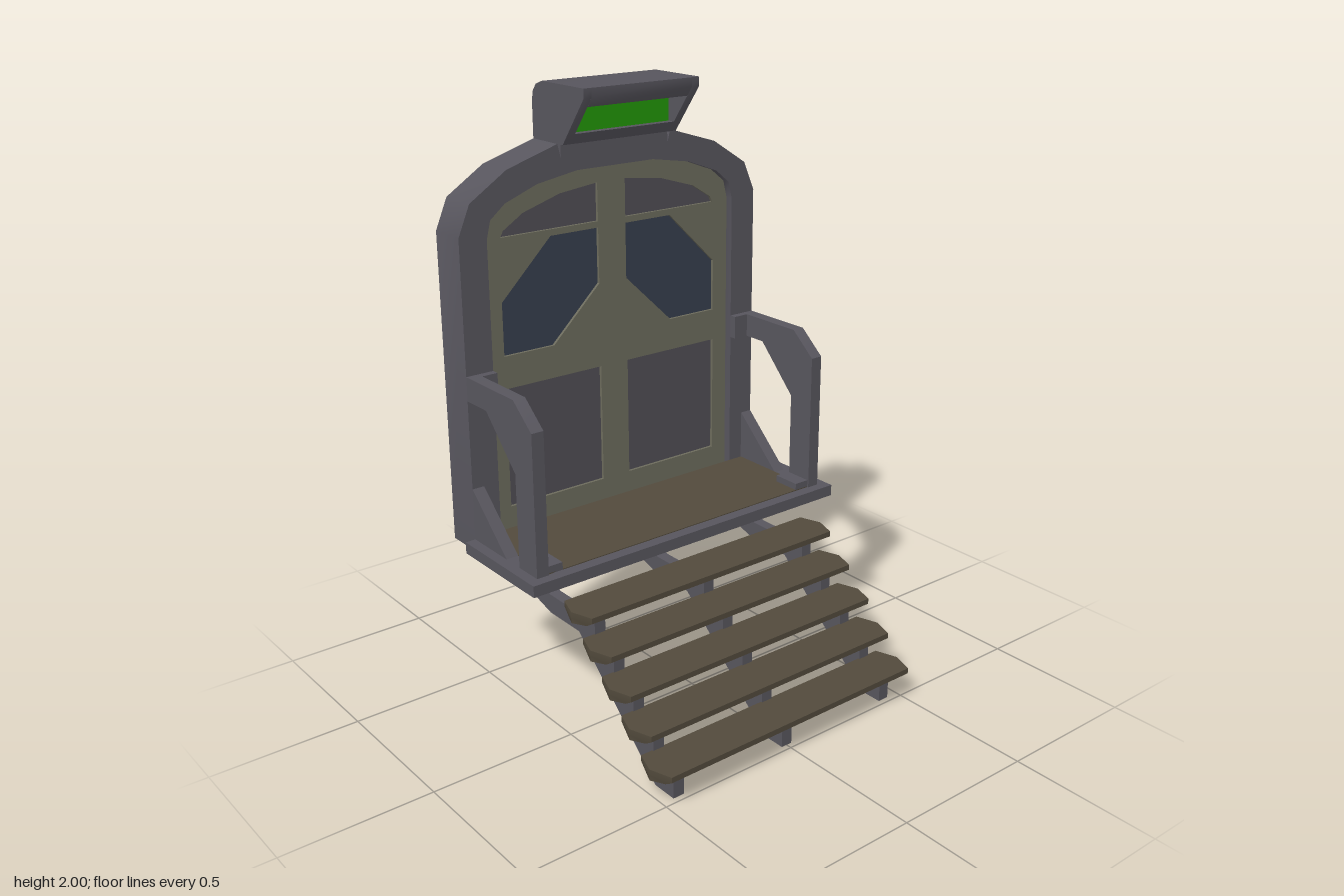
import * as THREE from 'three';
import { toCreasedNormals } from 'three/addons/utils/BufferGeometryUtils.js';

const mat = (color) => new THREE.MeshStandardMaterial({ color });
const METAL = mat(0x57555d), OLIVE = mat(0x6c6b5c), GLASS = mat(0x363e4d);
const WOOD = mat(0x524a3c), PANEL = mat(0x504e54), GREEN = mat(0x229407);

const toShape = (pts) => new THREE.Shape(pts.map(([a, b]) => new THREE.Vector2(a, b)));
const flip = (pts) => pts.map(([x, y]) => [-x, y]).reverse();

export function createModel() {
  const model = new THREE.Group();
  const add = (name, geometry, material) => {
    const mesh = new THREE.Mesh(toCreasedNormals(geometry, 0.75), material);
    mesh.name = name;
    model.add(mesh);
    return mesh;
  };
  const box = (name, x0, x1, y0, y1, z0, z1, m) =>
    add(name, new THREE.BoxGeometry(x1 - x0, y1 - y0, z1 - z0)
      .translate((x0 + x1) / 2, (y0 + y1) / 2, (z0 + z1) / 2), m);
  // outline in x,y pushed from z0 to z1
  const slab = (name, shape, z0, z1, m) =>
    add(name, new THREE.ExtrudeGeometry(shape, { depth: z1 - z0, bevelEnabled: false })
      .translate(0, 0, z0), m);
  // outline in z,y pushed from x0 to x1
  const side = (name, pts, x0, x1, m) =>
    add(name, new THREE.ExtrudeGeometry(toShape(pts), { depth: x1 - x0, bevelEnabled: false })
      .rotateY(-Math.PI / 2).translate(x1, 0, 0), m);

  // Arched door frame: deep outer shell, open under the sign, and a shallow front flange
  const outer = [[0.588, 0.53], [0.588, 1.57], [0.545, 1.67], [0.41, 1.757], [0.222, 1.815]];
  const middle = [[0.545, 0.53], [0.545, 1.56], [0.505, 1.65], [0.39, 1.72], [0.21, 1.77]];
  const inner = [[0.49, 0.53], [0.49, 1.55], [0.475, 1.61], [0.42, 1.655], [0.3, 1.7], [0.15, 1.725]];
  const full = (half) => [...half, ...flip(half)];
  const shellHalf = [...outer, ...[...middle].reverse()];
  for (const half of [shellHalf, flip(shellHalf)]) slab('frameShell', toShape(half), -0.525, -0.39, METAL);
  const flange = [...full([...middle, [0.21, 1.815]]), ...full(inner).reverse()];
  slab('frameFlange', toShape(flange), -0.42, -0.39, METAL);

  // Double door with openings, filled by thinner panes
  const door = toShape(full(inner));
  const openings = [
    ['lowerPanel', [[0.055, 0.637], [0.43, 0.637], [0.43, 1.047], [0.055, 1.047]], PANEL],
    ['window', [[0.055, 1.335], [0.24, 1.157], [0.43, 1.157], [0.43, 1.335], [0.24, 1.522], [0.055, 1.522]], GLASS],
    ['upperPanel', [[0.055, 1.543], [0.425, 1.543], [0.415, 1.563], [0.34, 1.61], [0.2, 1.653], [0.055, 1.67]], PANEL],
  ];
  for (const [name, pts, m] of openings) {
    for (const p of [pts, flip(pts)]) {
      door.holes.push(new THREE.Path(p.map(([x, y]) => new THREE.Vector2(x, y))));
      slab(name, toShape(p), -0.438, -0.428, m);
    }
  }
  slab('door', door, -0.448, -0.418, OLIVE);

  // Hollow sign box over the door, with an upright display behind a slanted front
  const back = [[-0.525, 1.815], [-0.525, 1.935], [-0.518, 1.965], [-0.5, 1.988], [-0.465, 2]];
  const signEnd = [[-0.36, 1.815], ...back, [-0.24, 2], [-0.24, 1.97]];
  side('signEnd', signEnd, 0.193, 0.222, METAL);
  side('signEnd', signEnd, -0.222, -0.193, METAL);
  side('signRoof', [...back, [-0.36, 2], [-0.36, 1.975], [-0.47, 1.975], [-0.495, 1.955], [-0.5, 1.93], [-0.5, 1.815]],
    -0.193, 0.193, METAL);
  side('signTopLip', [[-0.24, 2], [-0.24, 1.97], [-0.263, 1.94], [-0.36, 1.94], [-0.36, 2]], -0.193, 0.193, METAL);
  side('signBottomLip', [[-0.36, 1.815], [-0.333, 1.85], [-0.36, 1.85], [-0.39, 1.815]], -0.193, 0.193, METAL);
  box('signDisplay', -0.193, 0.193, 1.83, 1.975, -0.37, -0.36, GREEN);

  // Platform with a wooden deck
  box('platform', -0.624, 0.624, 0.535, 0.574, -0.39, 0.01, METAL);
  box('deck', -0.545, 0.545, 0.56, 0.577, -0.389, -0.03, WOOD);

  // Handrails, gussets and mounting plates on both sides
  const rail = [[-0.025, 0.574], [-0.025, 1.05], [-0.12, 1.13], [-0.39, 1.13], [-0.39, 1.05],
    [-0.28, 1.05], [-0.125, 0.89], [-0.125, 0.574]];
  const gusset = [[-0.2, 0.574], [-0.39, 0.75], [-0.39, 0.574]];
  for (const s of [-1, 1]) {
    const [a, b] = s > 0 ? [0.545, 0.588] : [-0.588, -0.545];
    const [c, d] = s > 0 ? [0.49, 0.545] : [-0.545, -0.49];
    side('handrail', rail, a, b, METAL);
    side('railGusset', gusset, a, b, METAL);
    box('railFootPlate', c, d, 0.574, 0.6, -0.13, -0.03, METAL);
    box('railWallPlate', c, d, 1.05, 1.13, -0.44, -0.365, METAL);
  }

  // Tapered sill under the door
  slab('doorSill', toShape([[-0.55, 0.53], [-0.55, 0.5], [-0.44, 0.37], [0.44, 0.37], [0.55, 0.5], [0.55, 0.53]]),
    -0.525, -0.33, OLIVE);

  // Two-lobed bracket below the platform, its front sloping back
  const lobes = toShape(full([[0.5, 0.535], [0.35, 0.405], [0.14, 0.405], [0.06, 0.475]]));
  const bracket = new THREE.ExtrudeGeometry(lobes, { depth: 1, bevelEnabled: false });
  const bp = bracket.attributes.position;
  for (let i = 0; i < bp.count; i++) {
    bp.setZ(i, bp.getZ(i) > 0.5 ? -0.13 - (0.535 - bp.getY(i)) * 1.08 : -0.335);
  }
  add('platformBracket', bracket, METAL);

  // Saw-toothed stair stringers
  const stringer = [[0.48, 0]];
  for (let i = 0; i < 5; i++) {
    const z = 0.48 - 0.098 * i, y = 0.08 + 0.09 * i;
    stringer.push([z, y], [z - 0.098, y]);
  }
  stringer.push([-0.01, 0.425], [-0.16, 0.425], [-0.34, 0.5], [-0.34, 0.41], [-0.16, 0.36], [0, 0.36], [0.39, 0]);
  for (const x of [-0.437, 0, 0.437]) side('stairStringer', stringer, x - 0.02, x + 0.02, METAL);

  // Treads with pointed ends and a narrowed underside
  const plan = toShape([[-0.5, -0.075], [0.5, -0.075], [0.525, 0], [0.5, 0.075], [-0.5, 0.075], [-0.525, 0]]);
  const tread = new THREE.ExtrudeGeometry(plan, { depth: 0.038, steps: 2, bevelEnabled: false })
    .rotateX(-Math.PI / 2);
  const tp = tread.attributes.position;
  for (let i = 0; i < tp.count; i++) if (tp.getY(i) < 0.01) tp.setZ(i, tp.getZ(i) * 0.6);
  for (let i = 0; i < 5; i++) {
    add('stairTread', tread, WOOD).position.set(0, 0.078 + 0.09 * i, 0.452 - 0.0975 * i);
  }
  return model;
}
